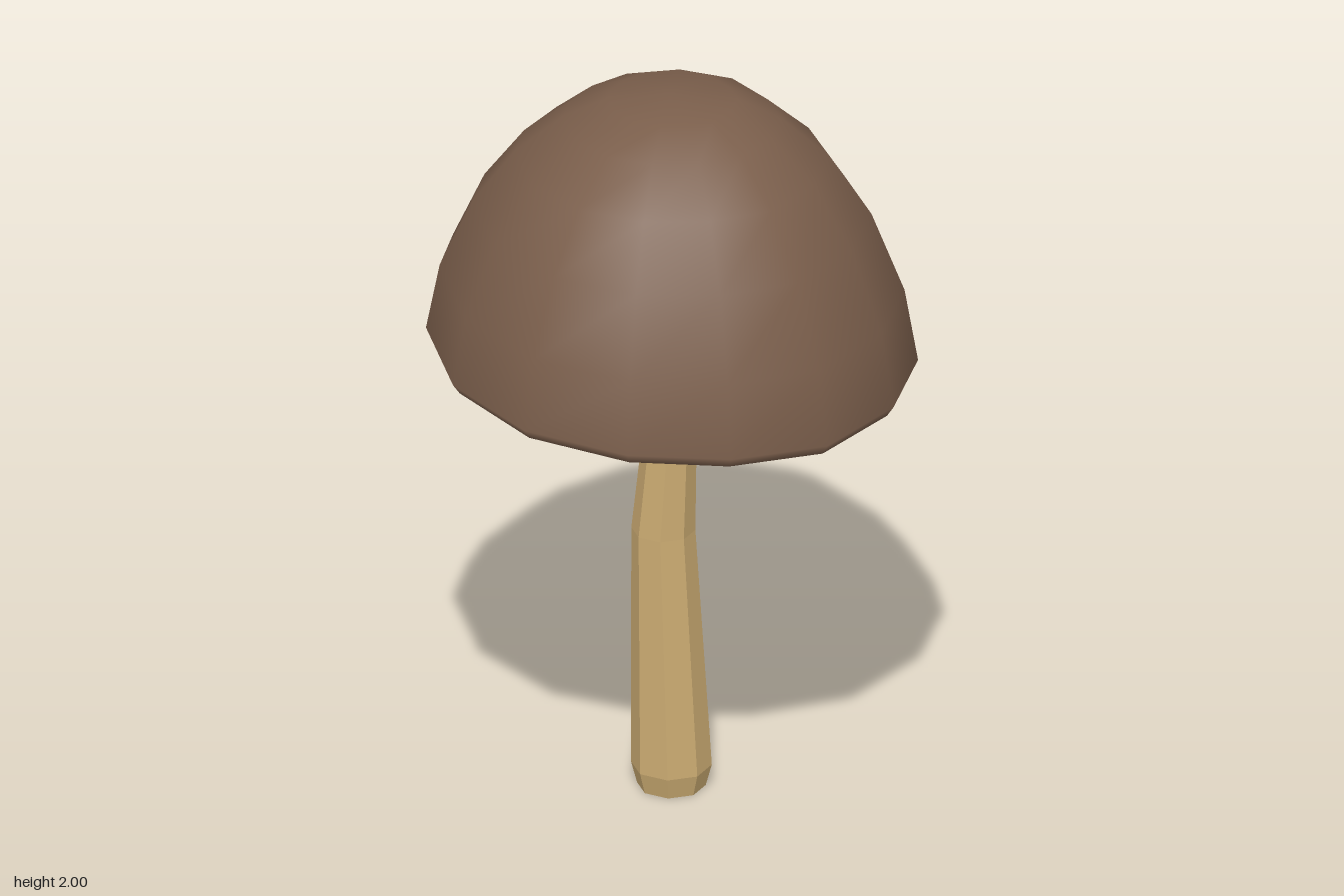
import * as THREE from 'three';

const capBrown = new THREE.MeshStandardMaterial({ color: 0x7a5e4b });
capBrown.name = 'capBrown';
const gillBrown = new THREE.MeshStandardMaterial({ color: 0x84706a });
gillBrown.name = 'gillBrown';
const stemTan = new THREE.MeshStandardMaterial({ color: 0xcbab72 });
stemTan.name = 'stemTan';

// Skins rings of [x, y, z] points from bottom to top; optional centre points close the ends.
function loft(rings, { top, bottom } = {}) {
  const n = rings[0].length;
  const points = rings.flat();
  const index = [];
  const last = (rings.length - 1) * n;
  for (let j = 0; j < n; j++) {
    const k = (j + 1) % n;
    for (let i = 0; i < last; i += n) {
      index.push(i + j, i + n + j, i + k, i + k, i + n + j, i + n + k);
    }
    if (top) index.push(last + j, last + n, last + k);
    if (bottom) index.push(j, k, last + n + (top ? 1 : 0));
  }
  if (top) points.push(top);
  if (bottom) points.push(bottom);
  const geometry = new THREE.BufferGeometry();
  geometry.setAttribute('position', new THREE.Float32BufferAttribute(points.flat(), 3));
  geometry.setIndex(index);
  return geometry;
}

// Uneven 14-sided rim outline (x, z)
const outline = [
  [0.03, -0.64], [0.34, -0.53], [0.55, -0.26], [0.64, 0], [0.58, 0.27], [0.41, 0.51], [0.16, 0.62],
  [-0.11, 0.635], [-0.38, 0.535], [-0.57, 0.31], [-0.645, 0], [-0.61, -0.19], [-0.48, -0.41], [-0.28, -0.575],
];

// Ring of the cap: the outline scaled, raised to y and leaning down towards +x and +z
function capRing([scale, y, tilt]) {
  return outline.map(([x, z]) => [
    x * scale, y - tilt * scale * (0.07 * x + 0.04 * z), z * scale,
  ]);
}

function addMesh(group, name, geometry, material) {
  geometry.computeVertexNormals();
  const mesh = new THREE.Mesh(geometry, material);
  mesh.name = name;
  group.add(mesh);
}

export function createModel() {
  const group = new THREE.Group();
  group.name = 'mushroom';

  // Cap: smooth dome with a lip that turns under; [scale, height, tilt]
  const capProfile = [
    [0.93, 1.247, 1], [0.97, 1.245, 1], [1, 1.273, 0.95], [0.945, 1.465, 0.75],
    [0.81, 1.67, 0.45], [0.64, 1.825, 0.2], [0.445, 1.93, 0.1], [0.265, 1.986, 0],
  ];
  addMesh(group, 'cap', loft(capProfile.map(capRing), { top: [-0.01, 2, 0] }), capBrown);

  // Underside: flat tilted disc inside the lip
  addMesh(group, 'capUnderside', loft([capRing(capProfile[0])], { bottom: [0, 1.247, 0] }), gillBrown);

  // Stem: bent eight-sided column; [centre x, y, centre z, radius]
  const stemRings = [
    [-0.004, 0, 0.008, 0.09], [-0.004, 0.06, 0.008, 0.106],
    [-0.025, 0.74, 0.007, 0.084], [0.008, 1.29, 0.02, 0.058],
  ].map(([cx, y, cz, r]) => Array.from({ length: 8 }, (_, i) => {
    const angle = (i / 8) * Math.PI * 2 + 0.08;
    return [cx + r * Math.cos(angle), y, cz + r * Math.sin(angle)];
  }));
  const stem = loft(stemRings, { top: [0.008, 1.29, 0.02], bottom: [-0.004, 0, 0.008] });
  addMesh(group, 'stem', stem.toNonIndexed(), stemTan);

  return group;
}
